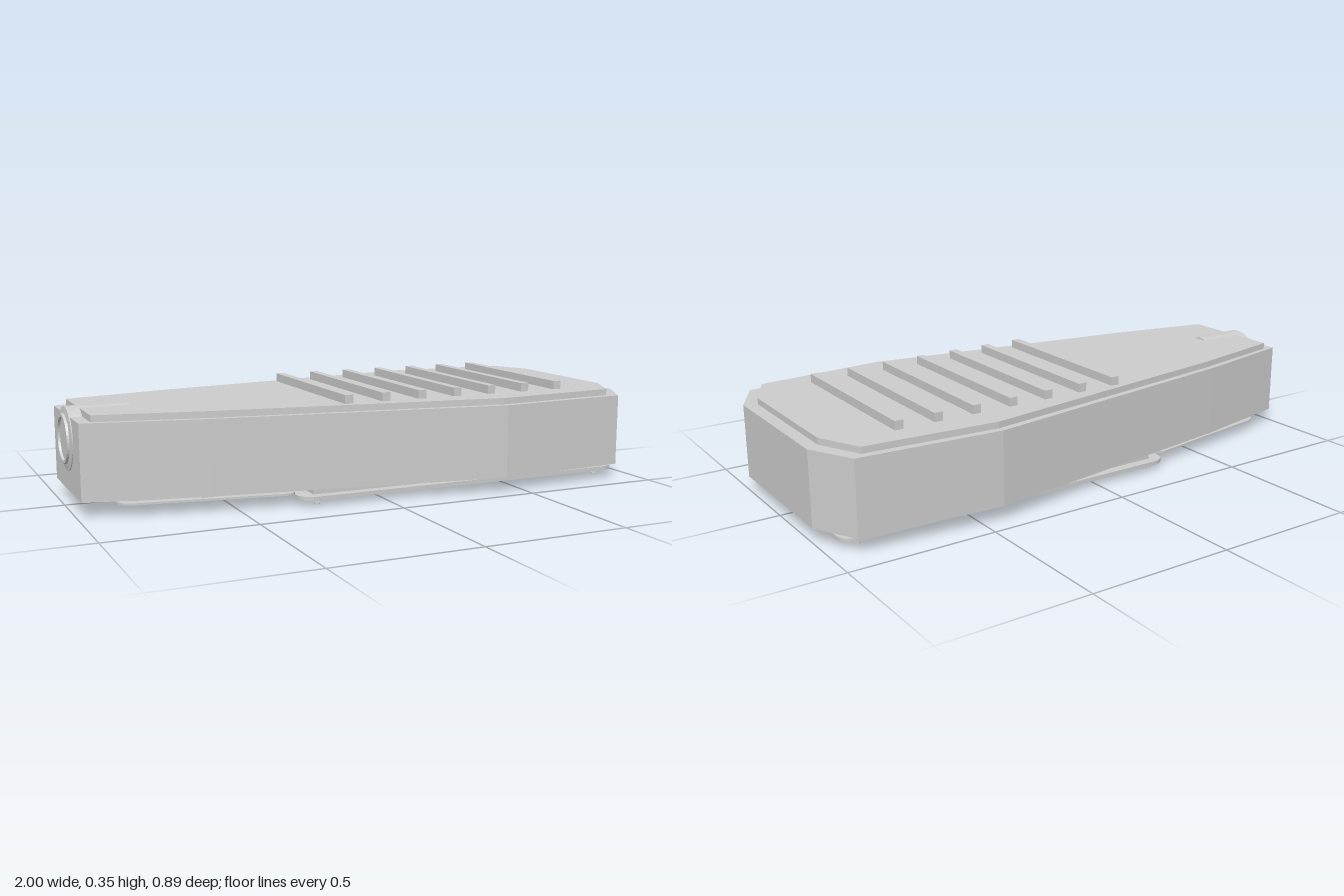
import * as THREE from 'three';

const material = new THREE.MeshStandardMaterial({ color: 0xcccccc, flatShading: true });
const smooth = new THREE.MeshStandardMaterial({ color: 0xcccccc, side: THREE.DoubleSide });

// Closed outline mirrored about the long axis, with optional rounded corners
function outline(half, radius = 0, PathType = THREE.Shape) {
  const pts = [...half.map(([x, z]) => new THREE.Vector2(x, -z)),
    ...half.slice().reverse().map(([x, z]) => new THREE.Vector2(x, z))];
  const path = new PathType();
  if (!radius) return path.setFromPoints(pts);
  pts.forEach((p, i) => {
    const prev = pts[(i + pts.length - 1) % pts.length];
    const next = pts[(i + 1) % pts.length];
    const a = p.clone().add(prev.clone().sub(p).setLength(radius));
    const b = p.clone().add(next.clone().sub(p).setLength(radius));
    if (i === 0) path.moveTo(a.x, a.y);
    else path.lineTo(a.x, a.y);
    path.quadraticCurveTo(p.x, p.y, b.x, b.y);
  });
  path.closePath();
  return path;
}

export function createModel() {
  const model = new THREE.Group();
  model.name = 'footPedal';

  const add = (name, geometry, x = 0, y = 0, z = 0, mat = material) => {
    const mesh = new THREE.Mesh(geometry, mat);
    mesh.name = name;
    mesh.position.set(x, y, z);
    model.add(mesh);
  };

  // Horizontal slab between two heights
  const slab = (name, shape, y0, y1) => {
    const g = new THREE.ExtrudeGeometry(shape, { depth: y1 - y0, bevelEnabled: false, curveSegments: 6 });
    g.rotateX(-Math.PI / 2);
    add(name, g, 0, y0, 0);
  };

  // Housing and raised top cover
  slab('housing', outline([[-0.985, 0.2], [-0.59, 0.285], [0.43, 0.443], [0.92, 0.41], [1, 0.26]]), 0.05, 0.303);
  slab('topCover', outline([[-0.945, 0.19], [-0.58, 0.265], [0.43, 0.418], [0.885, 0.385], [0.957, 0.24]]), 0.303, 0.325);

  // Grip ribs
  for (let i = 0; i < 7; i++) {
    add('gripRib', new THREE.BoxGeometry(0.03, 0.03, 0.622), -0.11 + i * 0.1385, 0.34, 0);
  }

  // Cable socket: sleeve with a recessed, ridged bore
  const profile = [[0, 0.008], [0.025, 0.008], [0.07, 0.008], [0.072, 0], [0.082, 0],
    [0.084, 0.008], [0.107, 0.012], [0.107, 0.22], [0, 0.22]];
  const socket = new THREE.LatheGeometry(profile.map(([r, h]) => new THREE.Vector2(r, h)), 40);
  socket.rotateZ(-Math.PI / 2);
  const flatSocket = new THREE.MeshStandardMaterial({ color: 0xcccccc, side: THREE.DoubleSide, flatShading: true });
  add('cableSocket', socket, -1, 0.223, 0, flatSocket);

  // Main base frame with its recessed panel
  const frame = outline([[-0.305, 0.368], [0.95, 0.368]], 0.06);
  frame.holes.push(outline([[-0.24, 0.325], [0.89, 0.325]], 0.03, THREE.Path));
  slab('baseFrame', frame, 0.02, 0.034);
  slab('basePanel', outline([[-0.25, 0.335], [0.895, 0.335]]), 0.034, 0.05);

  // Tapered rear frame with its recessed panel
  const rear = outline([[-0.875, 0.236], [-0.3, 0.33]], 0.05);
  rear.holes.push(outline([[-0.83, 0.205], [-0.33, 0.29]], 0.03, THREE.Path));
  slab('rearFrame', rear, 0.036, 0.043);
  slab('rearPanel', outline([[-0.835, 0.21], [-0.32, 0.295]]), 0.043, 0.05);

  // Small spacers and feet
  for (const side of [-1, 1]) {
    add('spacer', new THREE.BoxGeometry(0.12, 0.01, 0.025), -0.55, 0.045, side * 0.25);
    for (const x of [-0.235, 0.885]) {
      add('foot', new THREE.CylinderGeometry(0.01, 0.01, 0.006, 16), x, 0.003, side * 0.329, smooth);
    }
  }

  return model;
}
